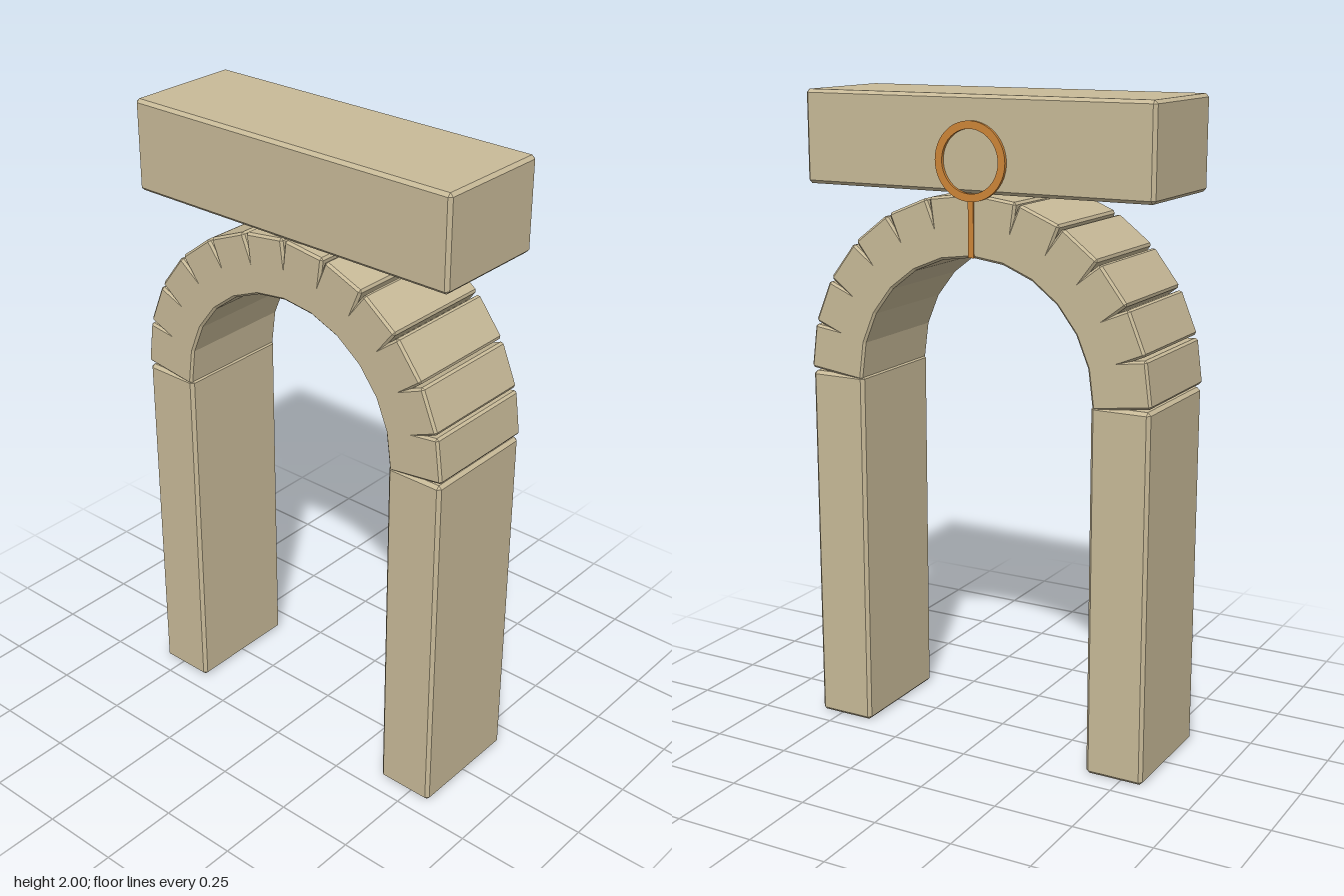
import * as THREE from 'three';
import { ConvexGeometry } from 'three/addons/geometries/ConvexGeometry.js';

const stone = new THREE.MeshStandardMaterial({ color: 0xc8ba98 });
const bronze = new THREE.MeshStandardMaterial({ color: 0xcd8538 });

const DEPTH = 0.378, MID_Z = 0.003;
const BACK_Z = MID_Z - DEPTH / 2;
const INNER = 0.386, OUTER = 0.571, THICK = OUTER - INNER;
const MID_R = (INNER + OUTER) / 2;
const SPRING_Y = 1.145, BLOCKS = 12;

// Box with a narrow flat chamfer on every edge
function chamferedBox(w, h, d, c = 0.01) {
  const points = [];
  for (const sx of [-1, 1]) for (const sy of [-1, 1]) for (const sz of [-1, 1]) {
    for (let axis = 0; axis < 3; axis++) {
      const p = [w / 2 - c, h / 2 - c, d / 2 - c];
      p[axis] += c;
      points.push(new THREE.Vector3(sx * p[0], sy * p[1], sz * p[2]));
    }
  }
  return new ConvexGeometry(points);
}

function addPart(group, name, geometry, material, x, y, z) {
  const mesh = new THREE.Mesh(geometry, material);
  mesh.name = name;
  mesh.position.set(x, y, z);
  group.add(mesh);
  return mesh;
}

export function createModel() {
  const model = new THREE.Group();
  model.name = 'stoneArch';

  // Two upright pillars
  const pillar = chamferedBox(THICK, 1.14, DEPTH);
  addPart(model, 'leftPillar', pillar, stone, MID_R, 0.57, MID_Z);
  addPart(model, 'rightPillar', pillar, stone, -MID_R, 0.57, MID_Z);

  // Half circle of straight blocks that overlap inside and gape outside
  const arch = new THREE.Group();
  arch.name = 'archRing';
  const block = chamferedBox(THICK, 0.139, DEPTH, 0.007);
  for (let i = 0; i < BLOCKS; i++) {
    const a = ((i + 0.5) * Math.PI) / BLOCKS;
    const mesh = addPart(arch, 'archBlock', block, stone,
      MID_R * Math.cos(a), SPRING_Y + MID_R * Math.sin(a), MID_Z);
    mesh.rotation.z = a;
  }
  model.add(arch);

  // Lintel resting on the crown
  addPart(model, 'lintel', chamferedBox(1.142, 0.28, DEPTH), stone, 0, 1.86, MID_Z);

  // Ring and stem emblem on the back
  const emblem = new THREE.Group();
  emblem.name = 'backEmblem';
  const ring = new THREE.Shape().absarc(0, 0, 0.115, 0, Math.PI * 2, false);
  ring.holes.push(new THREE.Path().absarc(0, 0, 0.092, 0, Math.PI * 2, true));
  const ringGeometry = new THREE.ExtrudeGeometry(ring, { depth: 0.012, bevelEnabled: false, curveSegments: 32 });
  addPart(emblem, 'emblemRing', ringGeometry, bronze, 0, 1.812, BACK_Z - 0.01);
  addPart(emblem, 'emblemStem', new THREE.BoxGeometry(0.018, 0.167, 0.01), bronze, 0, 1.6185, BACK_Z);
  model.add(emblem);

  return model;
}
